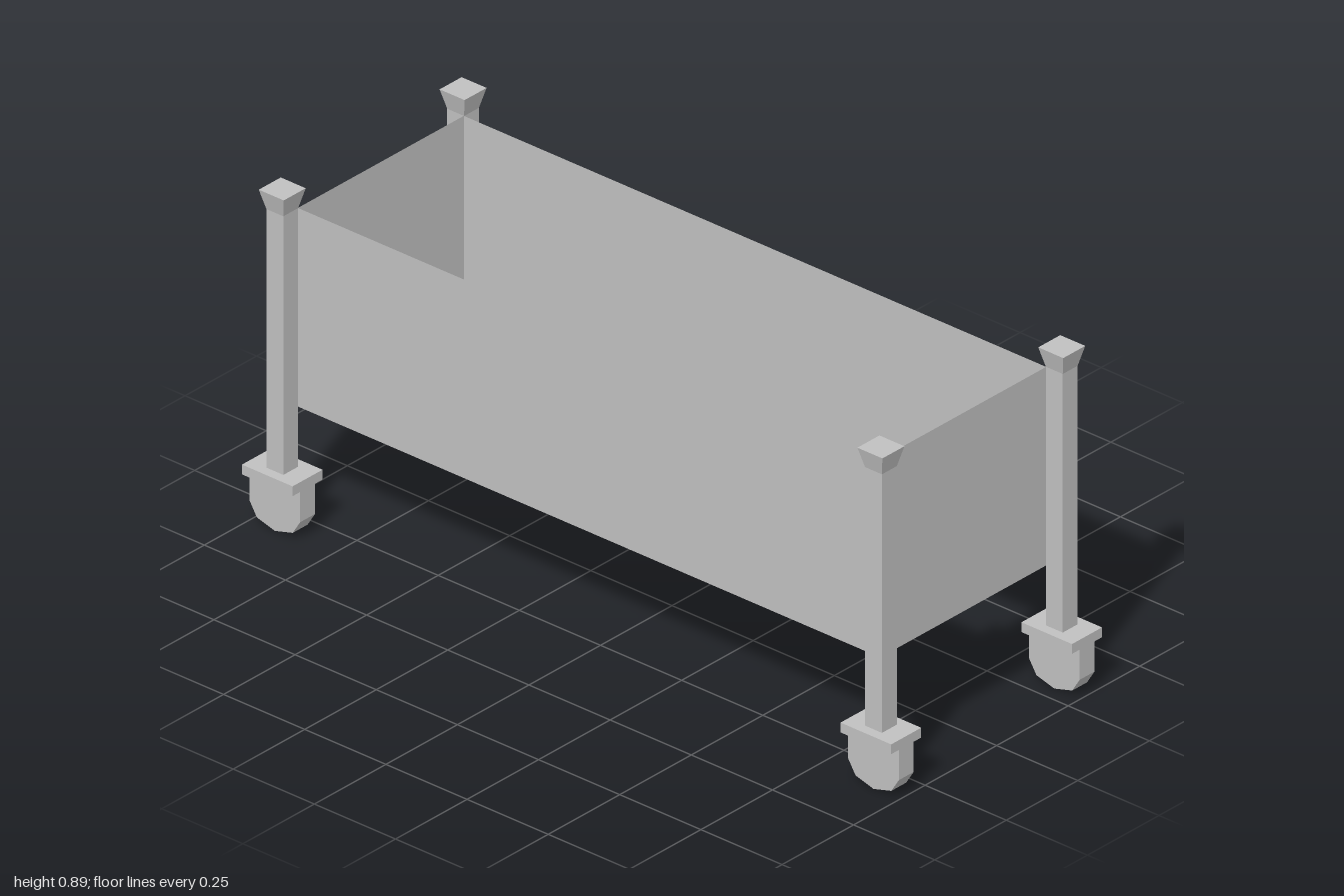
import * as THREE from 'three';

const grey = new THREE.MeshStandardMaterial({ color: 0xc0c0c0 });
grey.name = 'plainGrey';
grey.flatShading = true;
// Two-sided variant of the same grey for the sheet walls
const sheetGrey = grey.clone();
sheetGrey.name = 'sheetGrey';
sheetGrey.side = THREE.DoubleSide;

const LEG_X = 0.316, LEG_Z = 0.922;
const POST = 0.052, PLATE_W = 0.105, PLATE_D = 0.156;
const WALL_X = 0.29, WALL_Z = 0.897, WALL_LOW = 0.317, WALL_TOP = 0.843;

function part(parent, name, geometry, x, y, z, material = grey) {
  const mesh = new THREE.Mesh(geometry, material);
  mesh.name = name;
  mesh.position.set(x, y, z);
  parent.add(mesh);
  return mesh;
}

// Upright slab with a half-round foot, extruded across x
function footGeometry() {
  const r = PLATE_D / 2, h = 0.052;
  const shape = new THREE.Shape();
  shape.moveTo(r, 0.134);
  shape.lineTo(-r, 0.134);
  for (let i = 0; i <= 4; i++) {
    const a = Math.PI + (i * Math.PI) / 4;
    shape.lineTo(Math.cos(a) * r, h + Math.sin(a) * h);
  }
  shape.closePath();
  return new THREE.ExtrudeGeometry(shape, { depth: POST, bevelEnabled: false })
    .translate(0, 0, -POST / 2)
    .rotateY(Math.PI / 2);
}

// Square cap flaring outward to the top
function capGeometry() {
  return new THREE.CylinderGeometry(0.0385 * Math.SQRT2, (POST / 2) * Math.SQRT2, 0.052, 4)
    .rotateY(Math.PI / 4);
}

export function createModel() {
  const model = new THREE.Group();
  model.name = 'planterCart';

  // Four legs
  const post = new THREE.BoxGeometry(POST, WALL_TOP - 0.158, POST);
  const plate = new THREE.BoxGeometry(PLATE_W, 0.026, PLATE_D);
  const foot = footGeometry();
  const cap = capGeometry();
  for (const [zName, sz] of [['front', 1], ['back', -1]]) {
    for (const [xName, sx] of [['Left', 1], ['Right', -1]]) {
      const leg = new THREE.Group();
      leg.name = `${zName}${xName}Leg`;
      leg.position.set(sx * LEG_X, 0, sz * LEG_Z);
      part(leg, 'post', post, 0, (WALL_TOP + 0.158) / 2, 0);
      part(leg, 'cap', cap, 0, WALL_TOP + 0.026, 0);
      part(leg, 'footPlate', plate, 0, 0.145, 0);
      part(leg, 'wheel', foot, 0, 0, 0);
      model.add(leg);
    }
  }

  // Open box of four thin walls, no floor or lid
  const height = WALL_TOP - WALL_LOW, midY = (WALL_TOP + WALL_LOW) / 2;
  const endWall = new THREE.PlaneGeometry(WALL_X * 2, height);
  const sideWall = new THREE.PlaneGeometry(WALL_Z * 2, height);
  part(model, 'frontWall', endWall, 0, midY, WALL_Z, sheetGrey);
  part(model, 'backWall', endWall, 0, midY, -WALL_Z, sheetGrey).rotation.y = Math.PI;
  part(model, 'leftWall', sideWall, WALL_X, midY, 0, sheetGrey).rotation.y = Math.PI / 2;
  part(model, 'rightWall', sideWall, -WALL_X, midY, 0, sheetGrey).rotation.y = -Math.PI / 2;

  return model;
}
